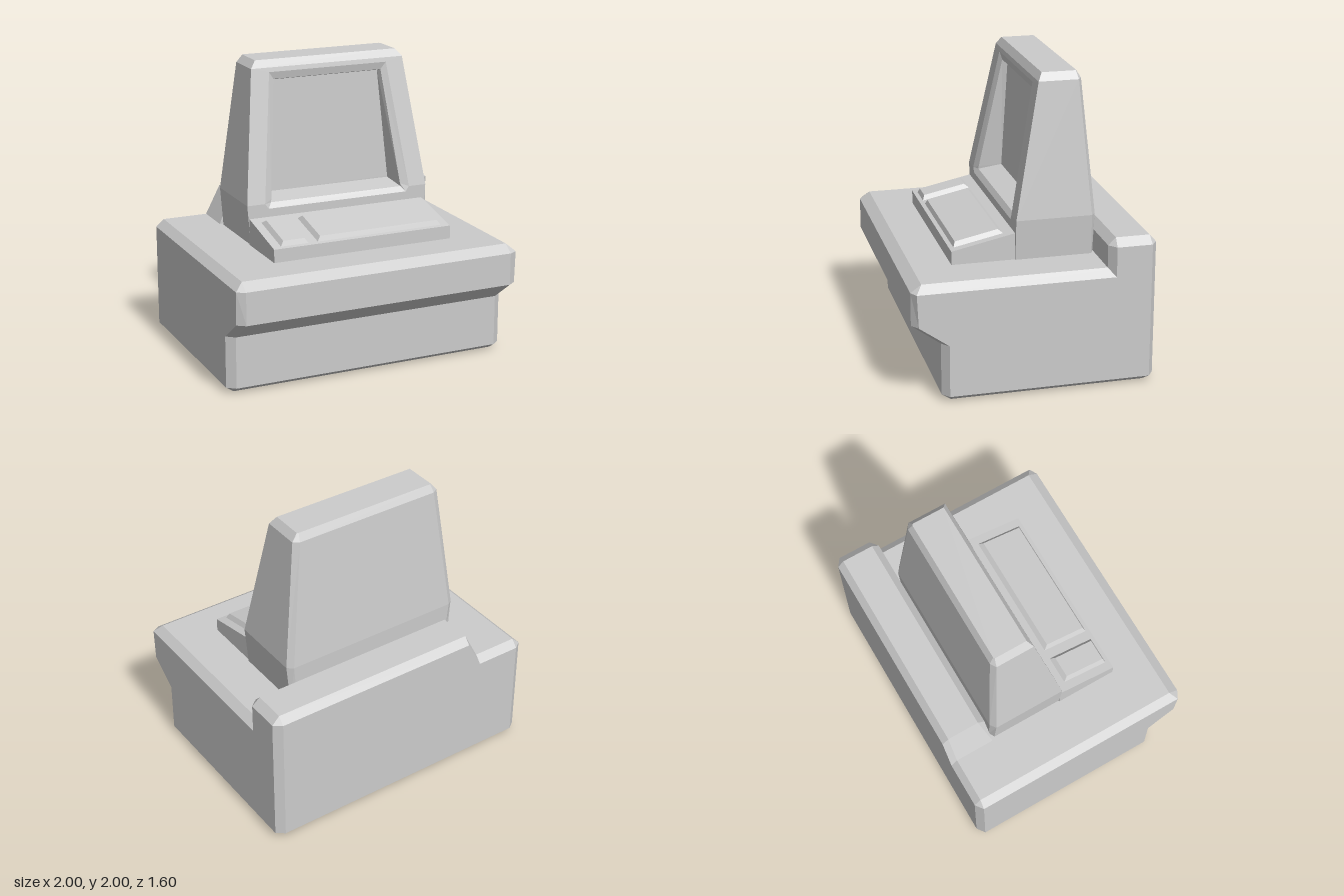
import * as THREE from 'three';

const material = new THREE.MeshStandardMaterial({ color: 0xcccccc, flatShading: true });

// Skins a list of point rings; caps fan out from each ring's first point.
function loft(name, rings, { closed = true, start = false, end = false } = {}) {
  const pos = [];
  const tri = (a, b, c) => pos.push(...a, ...b, ...c);
  const n = rings[0].length;
  for (let i = 0; i + 1 < rings.length; i++) {
    const p = rings[i], q = rings[i + 1];
    for (let j = 0; j < (closed ? n : n - 1); j++) {
      const k = (j + 1) % n;
      tri(p[j], p[k], q[k]);
      tri(p[j], q[k], q[j]);
    }
  }
  const last = rings[rings.length - 1];
  for (let j = 1; j + 1 < n; j++) {
    if (start) tri(rings[0][0], rings[0][j + 1], rings[0][j]);
    if (end) tri(last[0], last[j], last[j + 1]);
  }
  const geometry = new THREE.BufferGeometry();
  geometry.setAttribute('position', new THREE.Float32BufferAttribute(pos, 3));
  geometry.computeVertexNormals();
  const mesh = new THREE.Mesh(geometry, material);
  mesh.name = name;
  return mesh;
}

// Places a (z, y) profile at a given x.
const at = (x, profile) => profile.map(([z, y]) => [x, y, z]);

function createCase() {
  const full = [[0.61, 0.39], [0.61, 0.04], [0.55, 0], [-0.73, 0], [-0.8, 0.04],
    [-0.8, 0.75], [-0.755, 0.8], [0.73, 0.8], [0.8, 0.75], [0.8, 0.53]];
  const side = [[0.565, 0.39], [0.565, 0.04], [0.565, 0.04], [-0.76, 0.04], [-0.76, 0.04],
    [-0.76, 0.75], [-0.76, 0.75], [0.77, 0.75], [0.77, 0.75], [0.76, 0.53]];
  return loft('case', [at(-1, side), at(-0.945, full), at(0.945, full), at(1, side)],
    { start: true, end: true });
}

function createRearLedge() {
  const low = [[-0.48, 0.8], [-0.48, 0.75], [-0.8, 0.75], [-0.8, 0.75], [-0.755, 0.8], [-0.48, 0.8]];
  const full = [[-0.48, 0.95], [-0.48, 0.75], [-0.8, 0.75], [-0.8, 0.95], [-0.755, 1], [-0.53, 1]];
  const side = [[-0.525, 0.95], [-0.525, 0.75], [-0.76, 0.75], [-0.76, 0.95], [-0.76, 0.95], [-0.525, 0.95]];
  return loft('rearLedge', [at(-0.63, low), at(-0.525, full), at(0.945, full), at(1, side)],
    { start: true, end: true });
}

function createMonitor() {
  const group = new THREE.Group();
  group.name = 'monitor';
  group.position.x = 0.028;

  // Horizontal sections: y, half width, front z, back z, back bevel in x and z
  const sections = [
    [0.79, 0.64, 0.055, -0.475, 0.04, 0.02],
    [1.07, 0.663, 0.055, -0.48, 0.04, 0.03],
    [1.95, 0.555, -0.115, -0.405, 0.04, 0.025],
    [2, 0.515, -0.145, -0.375, 0.01, 0.005],
  ];
  const shell = sections.map(([y, w, f, b, bx, bz]) => [
    [w, y, f], [w, y, b + bz], [w - bx, y, b], [bx - w, y, b], [-w, y, b + bz], [-w, y, f]]);
  group.add(loft('monitorShell', shell, { closed: false, end: true }));

  // Front: nested rings from the outer rim, over the bevel, into the screen
  const ring = ([w0, y0, z0], [w1, y1, z1], [w2, y2, z2]) => [
    [-w0, y0, z0], [w0, y0, z0], [w1, y1, z1], [w2, y2, z2], [-w2, y2, z2], [-w1, y1, z1]];
  const bottom = [0.64, 0.79, 0.055], waist = [0.663, 1.07, 0.055];
  const rim = ring(bottom, waist, [0.555, 1.95, -0.115]);
  const bevel = ring([0.51, 1.035, 0.055], [0.535, 1.07, 0.055], [0.43, 1.92, -0.109]);
  const opening = ring([0.483, 1.07, 0.03], [0.48, 1.09, 0.028], [0.395, 1.87, -0.12]);
  const screen = ring([0.46, 1.1, -0.13], [0.459, 1.11, -0.13], [0.385, 1.86, -0.155]);
  group.add(loft('monitorFrame', [ring(bottom, waist, [0.515, 2, -0.145]), rim, bevel]));
  group.add(loft('screenRecess', [bevel, opening, screen], { end: true }));
  return group;
}

function createKeyboard() {
  const group = new THREE.Group();
  group.name = 'keyboard';
  const profile = [[0.475, 0.89], [0.475, 0.79], [0.05, 0.79], [0.05, 0.98]];
  group.add(loft('keyboardBase', [at(-0.62, profile), at(0.66, profile)], { start: true, end: true }));

  // Raised key blocks following the slope
  const slope = (z) => 0.89 + (0.475 - z) * 0.212;
  const block = (x0, x1, z0, z1, h) =>
    [[x1, z1], [x1, z0], [x0, z0], [x0, z1]].map(([x, z]) => [x, slope(z) + h, z]);
  for (const [name, x0, x1] of [['smallKeyBlock', -0.565, -0.365], ['mainKeyBlock', -0.305, 0.605]]) {
    group.add(loft(name, [
      block(x0, x1, 0.115, 0.45, -0.005),
      block(x0 + 0.025, x1 - 0.025, 0.15, 0.435, 0.03),
    ], { end: true }));
  }
  return group;
}

export function createModel() {
  const model = new THREE.Group();
  model.name = 'desktopTerminal';
  model.add(createCase(), createRearLedge(), createMonitor(), createKeyboard());
  return model;
}
